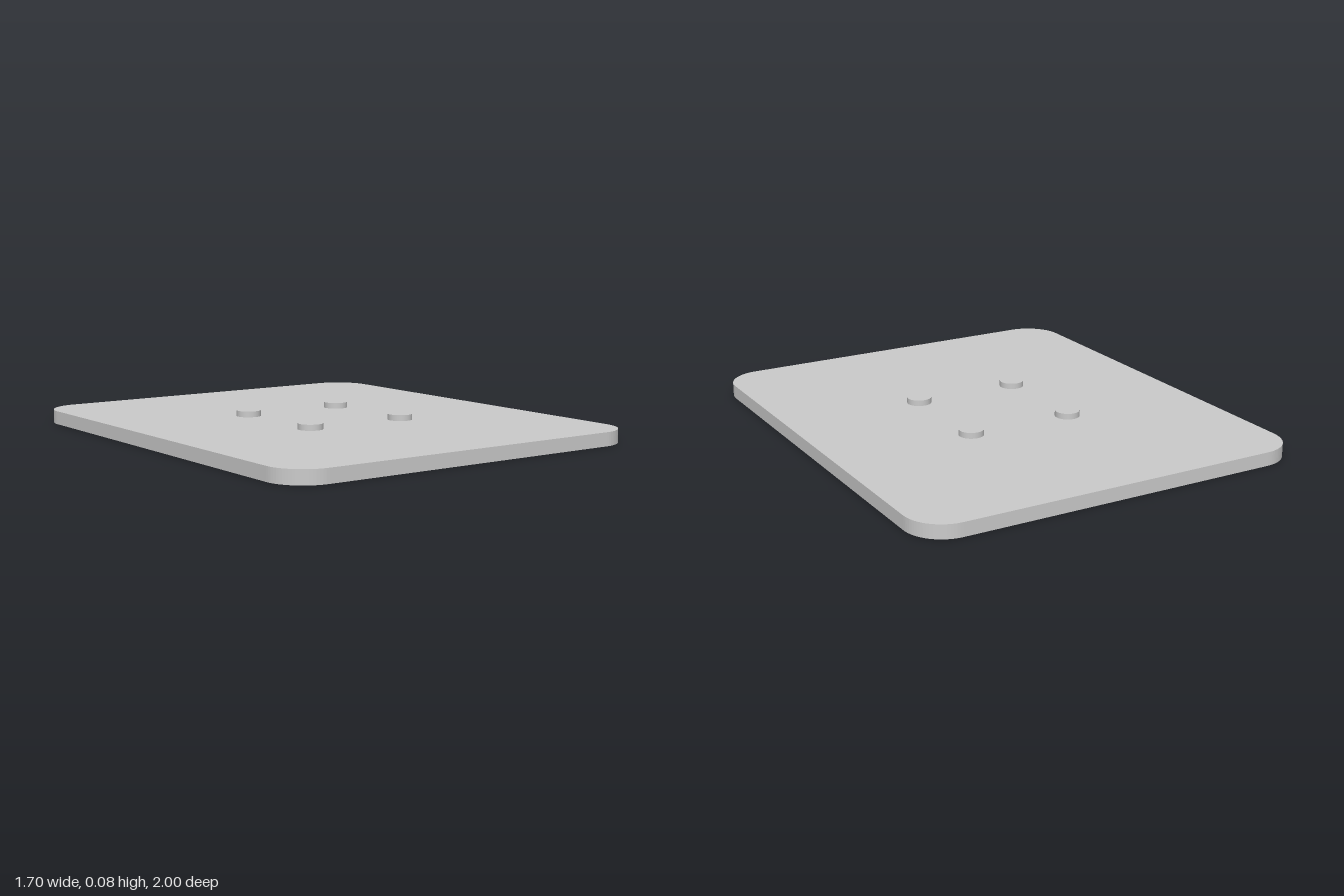
import * as THREE from 'three';

const HALF_W = 0.85, HALF_L = 1, CORNER = 0.16, THICK = 0.058;
const PEG_R = 0.053, PEG_H = 0.025, PEG_OFFSET = 0.233;

// Rectangle outline with quarter-circle corners
function roundedRect(w, l, r) {
  const s = new THREE.Shape();
  s.absarc(w - r, l - r, r, 0, Math.PI / 2);
  s.absarc(r - w, l - r, r, Math.PI / 2, Math.PI);
  s.absarc(r - w, r - l, r, Math.PI, Math.PI * 1.5);
  s.absarc(w - r, r - l, r, Math.PI * 1.5, Math.PI * 2);
  s.closePath();
  return s;
}

export function createModel() {
  const model = new THREE.Group();
  model.name = 'mountingPlate';
  const material = new THREE.MeshStandardMaterial({ color: 0xcccccc });

  // Flat plate lying on the ground
  const plateGeometry = new THREE.ExtrudeGeometry(roundedRect(HALF_W, HALF_L, CORNER), {
    depth: THICK, bevelEnabled: false, curveSegments: 10,
  });
  plateGeometry.rotateX(-Math.PI / 2);
  const plate = new THREE.Mesh(plateGeometry, material);
  plate.name = 'plate';
  model.add(plate);

  // Four short pegs in a square around the centre
  const pegGeometry = new THREE.CylinderGeometry(PEG_R, PEG_R, PEG_H, 24);
  for (const x of [-1, 1]) {
    for (const z of [-1, 1]) {
      const peg = new THREE.Mesh(pegGeometry, material);
      peg.name = (z > 0 ? 'front' : 'back') + (x > 0 ? 'Left' : 'Right') + 'Peg';
      peg.position.set(x * PEG_OFFSET, THICK + PEG_H / 2, z * PEG_OFFSET);
      model.add(peg);
    }
  }
  return model;
}
